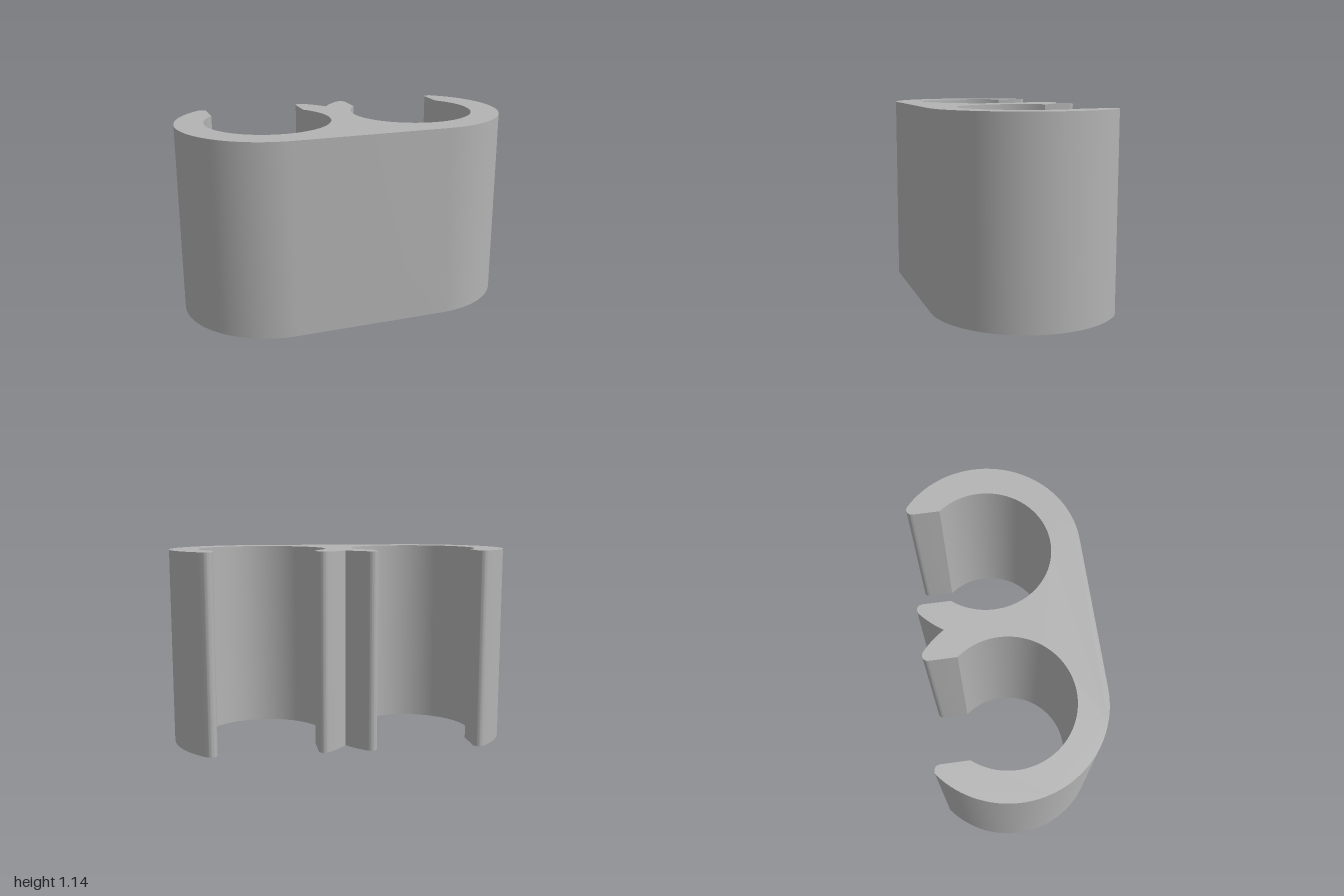
import * as THREE from 'three';
import { toCreasedNormals } from 'three/addons/utils/BufferGeometryUtils.js';

const HEIGHT = 1.142;
const CX = 0.457, CY = 0.06;      // centre of each pipe seat
const OUTER = 0.543, INNER = 0.373;
const LIP = 0.033;                // rounding radius of the jaw tips
const GAP = 0.288;                // half width of the jaw opening

export function createModel() {
  const group = new THREE.Group();
  const grey = new THREE.MeshStandardMaterial({ color: 0xb3b3b3 });
  grey.name = 'grey';

  const points = [];
  const arc = (x, y, r, from, to, n) => {
    for (let i = 0; i <= n; i++) {
      const a = from + (to - from) * i / n;
      const p = new THREE.Vector2(x + r * Math.cos(a), y + r * Math.sin(a));
      if (!points.length || points[points.length - 1].distanceTo(p) > 1e-4) points.push(p);
    }
  };

  // Angles where the lips, the mouth and the central notch begin
  const tipX = GAP + LIP;
  const tipY = Math.sqrt((OUTER - LIP) ** 2 - tipX ** 2);
  const tip = Math.atan2(tipY, tipX);
  const mouth = Math.acos(GAP / INNER);
  const notch = Math.acos(-CX / OUTER);

  // One C-shaped clip, traced from outer wall around both lips and the seat
  const clip = (x, start, end) => {
    const steps = (a) => Math.ceil(Math.abs(a) / 0.06);
    arc(x, CY, OUTER, start, tip, steps(tip - start));
    arc(x + tipX, CY + tipY, LIP, tip, Math.PI, 12);
    arc(x, CY, INNER, mouth, -Math.PI - mouth, 72);
    arc(x - tipX, CY + tipY, LIP, 0, Math.PI - tip, 12);
    arc(x, CY, OUTER, Math.PI - tip, end, steps(end - Math.PI + tip));
  };
  clip(CX, -Math.PI / 2, notch);
  clip(-CX, Math.PI - notch, Math.PI * 1.5);

  // Extrude the double clip upward
  let body = new THREE.ExtrudeGeometry(new THREE.Shape(points), { depth: HEIGHT, bevelEnabled: false });
  body.rotateX(-Math.PI / 2);
  body = toCreasedNormals(body, 0.5);

  const mesh = new THREE.Mesh(body, grey);
  mesh.name = 'doublePipeClip';
  group.add(mesh);
  return group;
}
